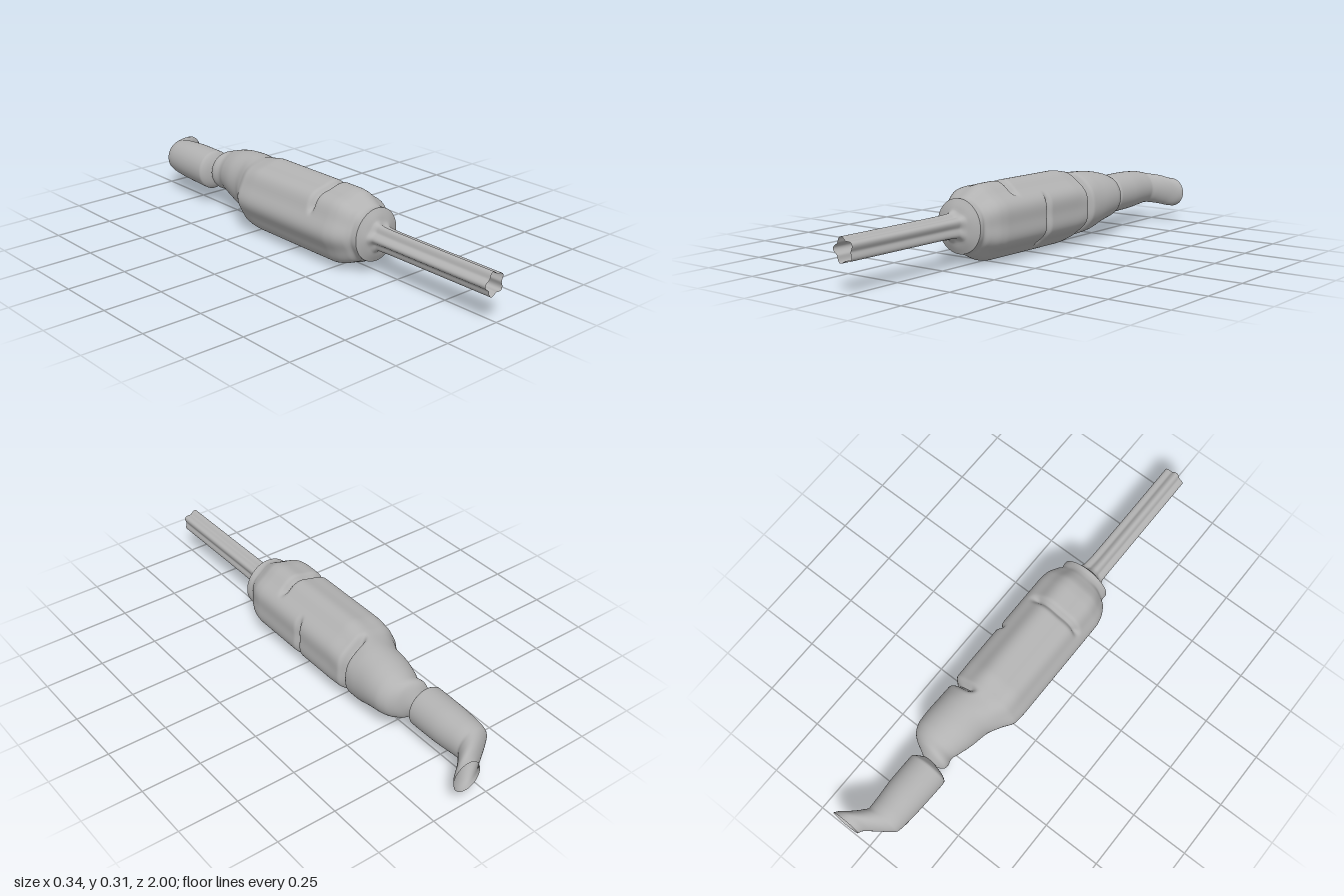
import * as THREE from 'three';

const SEGMENTS = 112;
const rad = THREE.MathUtils.degToRad;

// Stations along each part: [z, left x, right x, bottom y, top y, lobe depth]
const ROD = [
  [1.0, -0.066, 0.028, 0.112, 0.208, 0.17],
  [0.8, -0.066, 0.028, 0.112, 0.208, 0.17],
  [0.5, -0.066, 0.029, 0.112, 0.209, 0.17],
  [0.43, -0.067, 0.034, 0.109, 0.212, 0.16],
  [0.41, -0.078, 0.050, 0.095, 0.222, 0.08],
  [0.402, -0.092, 0.070, 0.075, 0.243, 0.02],
  [0.39, -0.118, 0.097, 0.05, 0.268, 0],
];
const BODY = [
  [0.39, -0.118, 0.097, 0.05, 0.268, 0],
  [0.375, -0.118, 0.097, 0.05, 0.268, 0.01],
  [0.36, -0.118, 0.094, 0.046, 0.272, 0.02],
  [0.34, -0.138, 0.108, 0.032, 0.284, 0.035],
  [0.29, -0.163, 0.130, 0.01, 0.309, 0.04],
  [0.25, -0.169, 0.135, 0.004, 0.313, 0.04],
  [0.0, -0.169, 0.135, 0.003, 0.313, 0.04],
  [-0.2, -0.169, 0.135, 0.003, 0.313, 0.04],
  [-0.27, -0.165, 0.135, 0.012, 0.302, 0.03],
  [-0.32, -0.135, 0.132, 0.024, 0.294, 0.015],
  [-0.38, -0.104, 0.132, 0.033, 0.291, 0],
  [-0.45, -0.092, 0.133, 0.055, 0.284, 0],
  [-0.51, -0.075, 0.131, 0.07, 0.271, 0],
  [-0.55, -0.062, 0.118, 0.078, 0.258, 0],
  [-0.58, -0.068, 0.088, 0.083, 0.25, 0],
  [-0.595, -0.064, 0.06, 0.094, 0.235, 0],
  [-0.612, -0.036, 0.03, 0.122, 0.197, 0],
];
const PIPE = [
  [-0.612, -0.036, 0.03, 0.122, 0.197, 0],
  [-0.625, -0.08, 0.052, 0.09, 0.225, 0],
  [-0.64, -0.098, 0.069, 0.074, 0.243, 0],
  [-0.75, -0.095, 0.07, 0.076, 0.244, 0],
  [-0.86, -0.088, 0.064, 0.083, 0.238, 0],
  [-0.9, -0.08, 0.063, 0.088, 0.231, 0],
  [-0.92, -0.058, 0.078, 0.09, 0.225, 0],
  [-0.96, 0.0, 0.121, 0.083, 0.215, 0],
  [-0.985, 0.034, 0.155, 0.074, 0.203, 0],
  [-1.0, 0.042, 0.167, 0.072, 0.2, 0],
];

// Pressed grooves covering part of the circumference
const GROOVES = [
  { z: 0.155, angle: 100, halfSpan: 62, depth: 0.022, width: 0.013 },
  { z: -0.01, angle: -12, halfSpan: 55, depth: 0.018, width: 0.011 },
  { z: -0.305, angle: 5, halfSpan: 82, depth: 0.036, width: 0.013 },
];

function grooveDepth(z, theta) {
  let depth = 0;
  for (const g of GROOVES) {
    const d = theta - rad(g.angle);
    const away = Math.abs(Math.atan2(Math.sin(d), Math.cos(d)));
    const fade = 1 - THREE.MathUtils.smoothstep(away, rad(g.halfSpan - 20), rad(g.halfSpan));
    depth += g.depth * fade * Math.exp(-(((z - g.z) / g.width) ** 2));
  }
  return depth;
}

// Smooth interpolation between stations without overshoot
function refine(stations) {
  const slope = (i, k) => (stations[i + 1][k] - stations[i][k]) / (stations[i + 1][0] - stations[i][0]);
  const tangent = (i, k) => {
    if (i === 0) return slope(0, k);
    if (i === stations.length - 1) return slope(i - 1, k);
    const a = slope(i - 1, k), b = slope(i, k);
    return a * b <= 0 ? 0 : (2 * a * b) / (a + b);
  };
  const rings = [];
  for (let i = 0; i < stations.length - 1; i++) {
    const p = stations[i], q = stations[i + 1], h = q[0] - p[0];
    const steps = Math.max(3, Math.ceil(Math.abs(h) / 0.006));
    for (let s = 0; s < steps; s++) {
      const t = s / steps, u = 1 - t;
      rings.push(p.map((v, k) => k === 0 ? v + h * t :
        v * (1 + 2 * t) * u * u + q[k] * t * t * (3 - 2 * t) +
        h * (tangent(i, k) * t * u * u - tangent(i + 1, k) * t * t * u)));
    }
  }
  rings.push(stations[stations.length - 1]);
  return rings;
}

// Loft an open tube through the stations, with lobed cross-sections
function loft(stations, lobes, lobeAngle) {
  const rings = refine(stations), pos = [], index = [];
  rings.forEach(([z, left, right, bottom, top, lobe], i) => {
    for (let j = 0; j < SEGMENTS; j++) {
      const a = (j / SEGMENTS) * Math.PI * 2;
      const scale = 1 - lobe / 2 + (lobe / 2) * Math.cos(lobes * (a - lobeAngle)) * 1.6;
      const dent = grooveDepth(z, a);
      pos.push(
        (left + right) / 2 + Math.cos(a) * (((right - left) / 2) * scale - dent),
        (bottom + top) / 2 + Math.sin(a) * (((top - bottom) / 2) * scale - dent),
        z);
      if (i < rings.length - 1) {
        const j2 = (j + 1) % SEGMENTS, r = i * SEGMENTS, n = r + SEGMENTS;
        index.push(r + j, n + j, r + j2, r + j2, n + j, n + j2);
      }
    }
  });
  const geo = new THREE.BufferGeometry();
  geo.setAttribute('position', new THREE.Float32BufferAttribute(pos, 3));
  geo.setIndex(index);
  geo.computeVertexNormals();
  return geo;
}

export function createModel() {
  const metal = new THREE.MeshStandardMaterial({ color: 0xb2b2b2, side: THREE.DoubleSide });
  metal.name = 'grey metal';
  const model = new THREE.Group();
  model.name = 'flutedTubeAssembly';
  const add = (name, geometry) => {
    const mesh = new THREE.Mesh(geometry, metal);
    mesh.name = name;
    model.add(mesh);
  };
  add('flutedFrontRod', loft(ROD, 5, rad(105)));
  add('lobedBody', loft(BODY, 7, rad(104 + 180 / 7)));
  add('bentRearPipe', loft(PIPE, 1, 0));
  return model;
}
